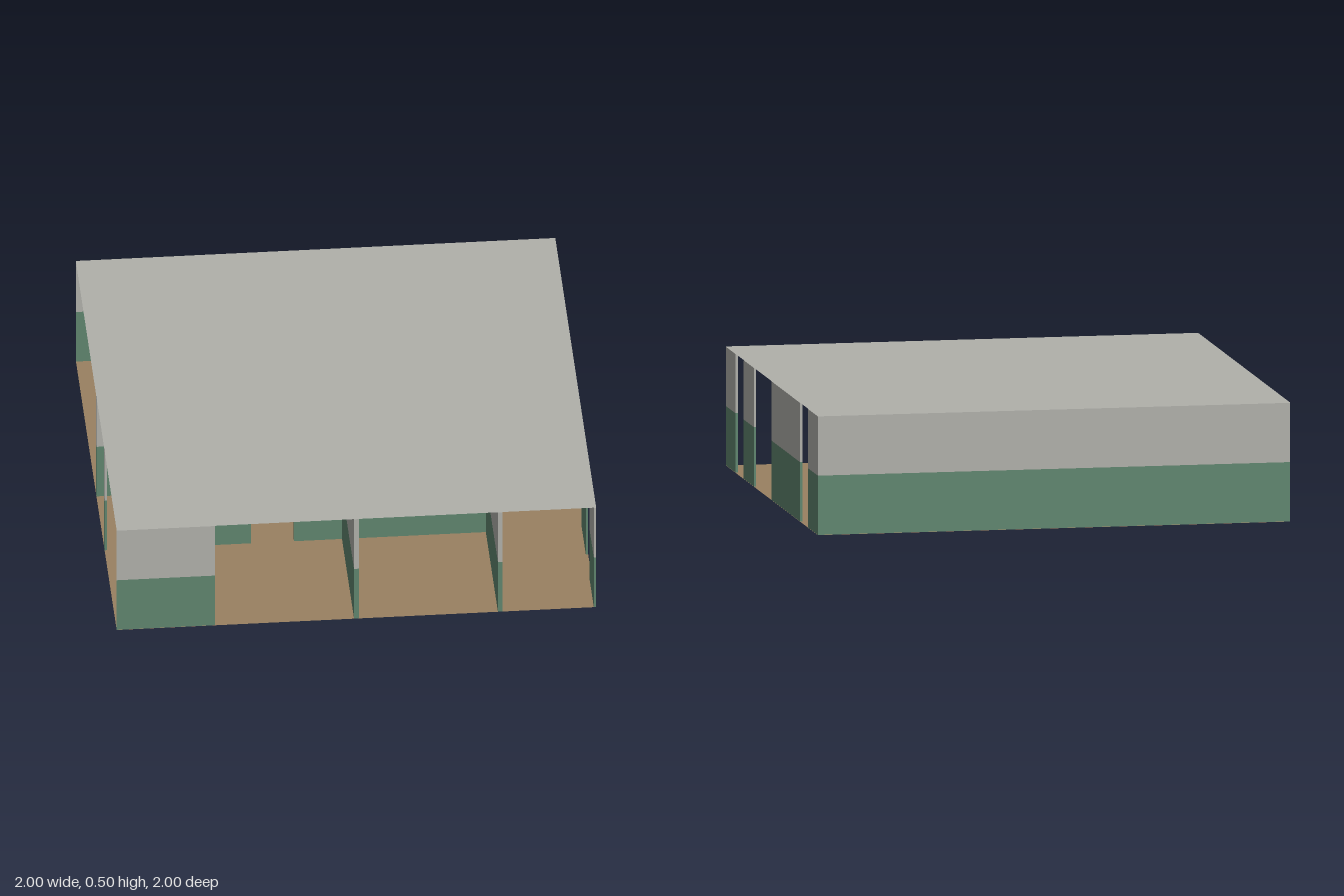
import * as THREE from 'three';

const HEIGHT = 0.5, SPLIT = 0.25, HALF = 0.01, EDGE = 1;

// Walls along x: [z, from x, to x]
const WALLS_X = [
  [-1, -1, 1],                                          // closed back
  [0, -1, 0.6],                                         // rear side of the corridor
  [0.4, -1, -1], [0.4, -0.8, -0.4], [0.4, -0.2, 0.6],   // front side with doorways
  [1, -1, -0.6],                                        // short front wall
];

// Walls along z: [x, from z, to z]
const WALLS_Z = [
  [-0.8, -1, -0.8], [-0.8, -0.4, 0],
  [-0.6, 0.8, 1],
  [-0.2, -1, 0],
  [0, 0.4, 1],
  [0.6, -1, -0.4], [0.6, -0.2, 0], [0.6, 0.4, 1],
  [1, -1, -0.8], [1, -0.6, 0], [1, 0.4, 0.6], [1, 0.8, 1],
];

export function createModel() {
  const model = new THREE.Group();
  model.name = 'building';

  const material = (name, color, side = THREE.FrontSide) =>
    new THREE.MeshStandardMaterial({ name, color, side });
  const grey = material('greyPlaster', 0xb0b0aa);
  const green = material('greenPaint', 0x5f856e);
  const ceilingGrey = grey.clone();
  ceilingGrey.side = THREE.DoubleSide;
  const tan = material('tanFloor', 0x998161, THREE.DoubleSide);

  // Floor and ceiling sheets
  const sheet = (name, y, mat) => {
    const mesh = new THREE.Mesh(new THREE.PlaneGeometry(2, 2).rotateX(-Math.PI / 2), mat);
    mesh.name = name;
    mesh.position.y = y;
    model.add(mesh);
  };
  sheet('floor', 0, tan);
  sheet('ceiling', HEIGHT, ceilingGrey);

  // Two-tone wall, widened by half its thickness and kept within the outline
  const clip = (v) => Math.max(-EDGE, Math.min(EDGE, v));
  const addWall = (x0, x1, z0, z1) => {
    const [a, b, c, d] = [clip(x0 - HALF), clip(x1 + HALF), clip(z0 - HALF), clip(z1 + HALF)];
    const wall = new THREE.Group();
    wall.name = 'wall';
    const band = (name, y0, y1, mat) => {
      const mesh = new THREE.Mesh(new THREE.BoxGeometry(b - a, y1 - y0, d - c), mat);
      mesh.name = name;
      mesh.position.set((a + b) / 2, (y0 + y1) / 2, (c + d) / 2);
      wall.add(mesh);
    };
    band('lowerWall', 0.001, SPLIT, green);
    band('upperWall', SPLIT, HEIGHT - 0.001, grey);
    model.add(wall);
  };
  for (const [z, x0, x1] of WALLS_X) addWall(x0, x1, z, z);
  for (const [x, z0, z1] of WALLS_Z) addWall(x, x, z0, z1);

  return model;
}
